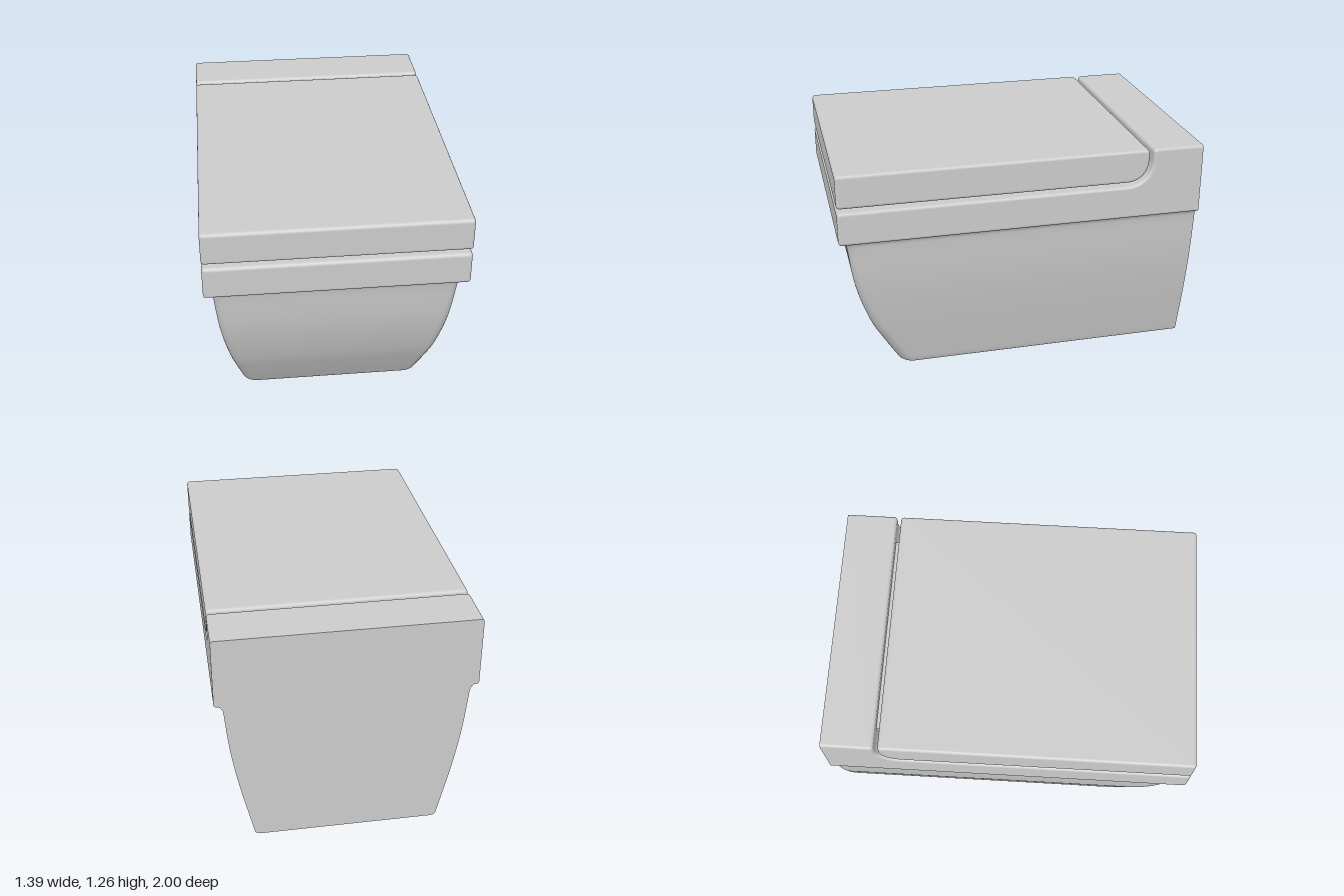
import * as THREE from 'three';

const material = new THREE.MeshStandardMaterial({ color: 0xcccccc });
const HALF_WIDTH = 0.695;
const BACK = -1;

// Area-weighted normals that stay sharp across edges steeper than the crease angle
function creaseNormals(source, crease = 0.8) {
  const geo = source.index ? source.toNonIndexed() : source;
  const pos = geo.attributes.position;
  const normals = new Float32Array(pos.count * 3);
  const corners = new Map(), faces = [];
  const points = [0, 1, 2].map(() => new THREE.Vector3());
  const keyOf = (i) => [pos.getX(i), pos.getY(i), pos.getZ(i)].map((v) => Math.round(v * 1e5)).join();
  for (let f = 0; f < pos.count; f += 3) {
    points.forEach((p, k) => p.fromBufferAttribute(pos, f + k));
    const [a, b, c] = points;
    const area = b.clone().sub(a).cross(c.clone().sub(a));
    const face = { area, unit: area.clone().normalize() };
    faces.push(face);
    for (let k = 0; k < 3; k++) {
      const key = keyOf(f + k);
      if (!corners.has(key)) corners.set(key, []);
      corners.get(key).push(face);
    }
  }
  for (let i = 0; i < pos.count; i++) {
    const { unit } = faces[Math.floor(i / 3)];
    const sum = new THREE.Vector3();
    for (const other of corners.get(keyOf(i))) {
      if (other.unit.dot(unit) > Math.cos(crease)) sum.add(other.area);
    }
    sum.normalize().toArray(normals, i * 3);
  }
  geo.setAttribute('normal', new THREE.BufferAttribute(normals, 3));
  return geo;
}

// Side outline from right-angled corners [z, y, radius]
function sideShape(corners) {
  const shape = new THREE.Shape();
  const n = corners.length, K = 0.5523;
  corners.forEach(([z, y, r], i) => {
    const c = new THREE.Vector2(z, y);
    const toward = (j, d) => {
      const other = new THREE.Vector2(corners[j][0], corners[j][1]);
      return other.sub(c).normalize().multiplyScalar(d).add(c);
    };
    const prev = (i + n - 1) % n, next = (i + 1) % n;
    const a = toward(prev, r), b = toward(next, r);
    if (i === 0) shape.moveTo(a.x, a.y);
    else shape.lineTo(a.x, a.y);
    if (r > 0) {
      const p = toward(prev, r * (1 - K)), q = toward(next, r * (1 - K));
      shape.bezierCurveTo(p.x, p.y, q.x, q.y, b.x, b.y);
    }
  });
  return shape;
}

// Sweep a side outline across the width, with softly rounded side edges
function sidePart(name, corners, halfWidth, bevel) {
  const depth = 2 * (halfWidth - bevel);
  const geo = new THREE.ExtrudeGeometry(sideShape(corners), {
    depth, curveSegments: 10, bevelEnabled: bevel > 0,
    bevelThickness: bevel, bevelSize: bevel, bevelOffset: -bevel, bevelSegments: 5,
  });
  geo.translate(0, 0, -depth / 2).rotateY(-Math.PI / 2);
  // Cut the back off flat against the wall plane
  const pos = geo.attributes.position;
  for (let i = 0; i < pos.count; i++) pos.setZ(i, Math.max(BACK, pos.getZ(i)));
  const mesh = new THREE.Mesh(creaseNormals(geo), material);
  mesh.name = name;
  return mesh;
}

// Tapering bowl: U-shaped sections with rounded front corners and a flat back
function bowl() {
  // x = half width, y = height, z = front
  const profile = new THREE.CatmullRomCurve3([
    new THREE.Vector3(0.505, 0, 0.67),
    new THREE.Vector3(0.546, 0.18, 0.77),
    new THREE.Vector3(0.577, 0.32, 0.838),
    new THREE.Vector3(0.621, 0.57, 0.915),
    new THREE.Vector3(0.652, 0.876, 0.958),
  ]);
  // [position on profile, inset]: rounded foot, plain wall, flare under the rim
  const rows = [[0, 0.022], [0.004, 0.012], [0.012, 0.004], [0.025, 0]];
  for (let i = 1; i <= 24; i++) rows.push([0.025 + (0.94 * i) / 24, 0]);
  rows.push([0.977, -0.003], [0.986, -0.009], [0.993, -0.018], [1, -0.026]);

  const STEPS = 8;
  const ringSize = 2 * (STEPS + 1) + 2;
  const verts = [], index = [];
  for (const [t, inset] of rows) {
    const p = profile.getPoint(t);
    const w = p.x - inset, front = p.z - inset, r = 0.08 - 0.04 * t;
    const cx = w - r, cz = front - r;
    verts.push(-w, p.y, BACK);
    for (let s = 0; s <= STEPS; s++) {
      const a = (s / STEPS) * Math.PI / 2;
      verts.push(-cx - r * Math.cos(a), p.y, cz + r * Math.sin(a));
    }
    for (let s = 0; s <= STEPS; s++) {
      const a = (s / STEPS) * Math.PI / 2;
      verts.push(cx + r * Math.sin(a), p.y, cz + r * Math.cos(a));
    }
    verts.push(w, p.y, BACK);
  }
  for (let i = 0; i < rows.length - 1; i++) {
    for (let j = 0; j < ringSize; j++) {
      const k = (j + 1) % ringSize;
      const a = i * ringSize + j, b = i * ringSize + k;
      index.push(a, b, a + ringSize, b, b + ringSize, a + ringSize);
    }
  }
  // Underside
  const centre = verts.length / 3;
  verts.push(0, 0, 0);
  for (let j = 0; j < ringSize; j++) index.push(centre, (j + 1) % ringSize, j);

  const geo = new THREE.BufferGeometry();
  geo.setAttribute('position', new THREE.Float32BufferAttribute(verts, 3));
  geo.setIndex(index);
  const mesh = new THREE.Mesh(creaseNormals(geo), material);
  mesh.name = 'bowl';
  return mesh;
}

export function createModel() {
  const group = new THREE.Group();
  group.name = 'toilet';
  group.add(bowl());

  // Rim with the raised block behind the lid
  group.add(sidePart('rimAndBackBlock', [
    [-1.03, 0.868, 0], [1, 0.868, 0.02], [1, 1.053, 0.02],
    [-0.717, 1.053, 0.137], [-0.717, 1.26, 0.02], [-1.03, 1.26, 0],
  ], HALF_WIDTH, 0.016));

  // Thick lid, curved up at the back
  group.add(sidePart('lid', [
    [1, 1.077, 0.02], [1, 1.26, 0.02], [-0.695, 1.26, 0.02], [-0.695, 1.077, 0.115],
  ], HALF_WIDTH, 0.016));

  // Recessed spacer that fills the gap between rim and lid
  group.add(sidePart('spacer', [
    [0.905, 1.03, 0], [0.905, 1.1, 0], [-0.66, 1.1, 0.09],
    [-0.66, 1.2, 0], [-0.74, 1.2, 0], [-0.74, 1.03, 0.16],
  ], 0.56, 0));
  return group;
}
